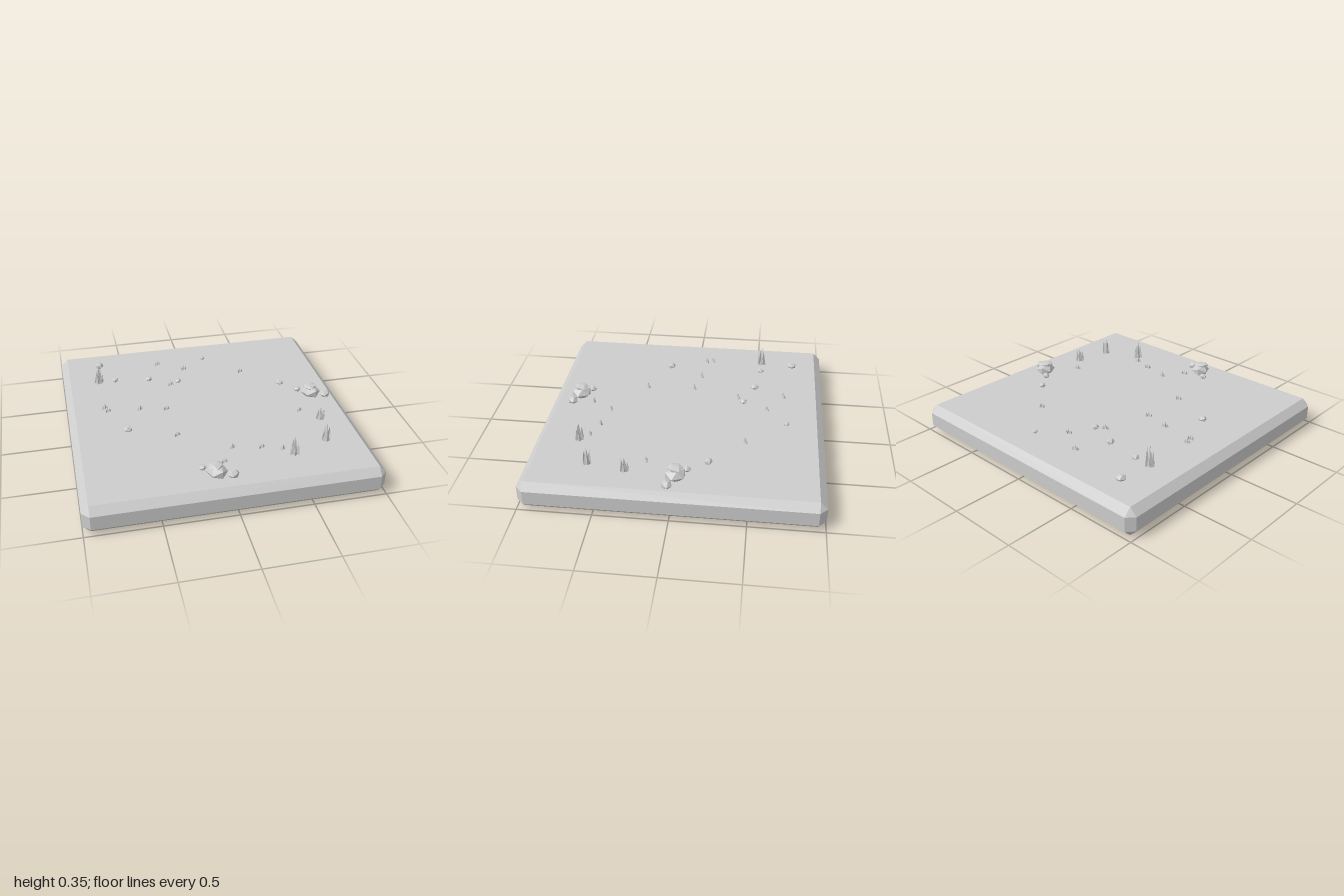
import * as THREE from 'three';
import { ConvexGeometry } from 'three/addons/geometries/ConvexGeometry.js';

const TOP = 0.2;

export function createModel() {
  const model = new THREE.Group();
  const stone = new THREE.MeshStandardMaterial({ color: 0xcccccc, flatShading: true });
  stone.name = 'light grey';

  const add = (parent, name, geometry, x, y, z) => {
    const mesh = new THREE.Mesh(geometry, stone);
    mesh.name = name;
    mesh.position.set(x, y, z);
    parent.add(mesh);
    return mesh;
  };
  const group = (name, x, z) => {
    const g = new THREE.Group();
    g.name = name;
    g.position.set(x, TOP, z);
    model.add(g);
    return g;
  };

  // Ground slab: a box with every edge chamfered
  const corners = [];
  const bevel = 0.05;
  for (const sx of [-1, 1]) for (const sy of [-1, 1]) for (const sz of [-1, 1]) {
    for (let axis = 0; axis < 3; axis++) {
      const inset = [bevel, bevel, bevel];
      inset[axis] = 0;
      corners.push(new THREE.Vector3(
        sx * (1 - inset[0]), sy * (0.1 - inset[1]), sz * (1 - inset[2])));
    }
  }
  add(model, 'groundSlab', new ConvexGeometry(corners), 0, 0.1, 0);

  // Thin irregular patches on the ground
  const patchRadii = [0.17, 0.15, 0.18, 0.14, 0.17, 0.16, 0.15];
  for (const [x, z, turn] of [[-0.11, -0.02, 0.3], [-0.76, -0.56, 1.1]]) {
    const outline = patchRadii.map((r, i) => {
      const a = turn + (i / patchRadii.length) * Math.PI * 2;
      return new THREE.Vector2(Math.cos(a) * r, Math.sin(a) * r);
    });
    const patch = add(model, 'groundPatch', new THREE.ShapeGeometry(new THREE.Shape(outline)), x, TOP + 0.001, z);
    patch.rotation.x = -Math.PI / 2;
  }

  // Faceted stone, squashed and turned
  const rock = (parent, name, x, y, z, rx, ry, rz, turn) => {
    const mesh = add(parent, name, new THREE.IcosahedronGeometry(1, 0), x, y, z);
    mesh.scale.set(rx, ry, rz);
    mesh.rotation.y = turn;
  };

  // Loose pebbles: x, z, radius
  const pebbles = [
    [-0.71, -0.77, 0.037], [-0.61, -0.525, 0.028], [-0.355, -0.49, 0.031],
    [-0.14, -0.415, 0.029], [0.12, -0.735, 0.022], [0.62, -0.22, 0.032], [-0.605, 0.18, 0.034],
  ];
  pebbles.forEach(([x, z, r], i) =>
    rock(model, 'pebble', x, TOP + r * 0.3, z, r * 0.9, r * 0.7, r * 1.05, -0.5 + i * 0.3));

  // Boulder clusters: a large stone with a flat cap and two small neighbours
  for (const [x, z] of [[0.8, -0.02], [-0.11, 0.8]]) {
    const cluster = group('boulderCluster', x, z);
    rock(cluster, 'boulder', 0, 0.025, 0, 0.07, 0.05, 0.078, 0.4);
    rock(cluster, 'boulderCap', -0.01, 0.07, 0, 0.056, 0.017, 0.052, 1.1);
    rock(cluster, 'smallStone', -0.08, 0.012, -0.07, 0.028, 0.022, 0.026, 0.2);
    rock(cluster, 'mediumStone', 0.1, 0.017, 0.045, 0.042, 0.029, 0.038, 0.7);
  }

  // Pointed three-sided blade, standing on its base
  const blade = (parent, x, z, radius, height, turn, lean) => {
    const geometry = new THREE.ConeGeometry(radius, height, 3);
    geometry.translate(0, height / 2, 0);
    const mesh = add(parent, 'blade', geometry, x, 0, z);
    mesh.rotation.set(0, turn, lean);
  };

  // Tall grass tufts: x, z, height
  const tall = [[-0.735, -0.53, 0.15], [0.45, 0.69, 0.135], [0.71, 0.58, 0.12], [0.76, 0.32, 0.1]];
  tall.forEach(([x, z, h], t) => {
    const tuft = group('tallGrass', x, z);
    blade(tuft, 0, 0, 0.02, h, t, 0);
    for (let i = 0; i < 6; i++) {
      const a = t * 0.7 + (i / 6) * Math.PI * 2;
      const height = h * (0.55 + 0.35 * ((i * 3 + t) % 4) / 3);
      blade(tuft, Math.cos(a) * 0.022, Math.sin(a) * 0.02, 0.015, height, a, -0.12 * Math.cos(a));
    }
  });

  // Short grass tufts: x, z
  const short = [
    [-0.25, -0.71], [-0.06, -0.59], [-0.2, -0.375], [0.365, -0.455], [-0.73, -0.145],
    [-0.715, -0.095], [-0.48, -0.075], [-0.295, -0.035], [0.65, 0.19], [-0.28, 0.315],
    [0.06, 0.54], [0.25, 0.58], [0.39, 0.625], [-0.035, 0.69],
  ];
  short.forEach(([x, z], t) => {
    const tuft = group('shortGrass', x, z);
    for (let i = -1; i <= 1; i++) {
      blade(tuft, i * 0.014, -i * 0.006, 0.012, i === 0 ? 0.036 : 0.026, t + i, -i * 0.1);
    }
  });

  return model;
}
